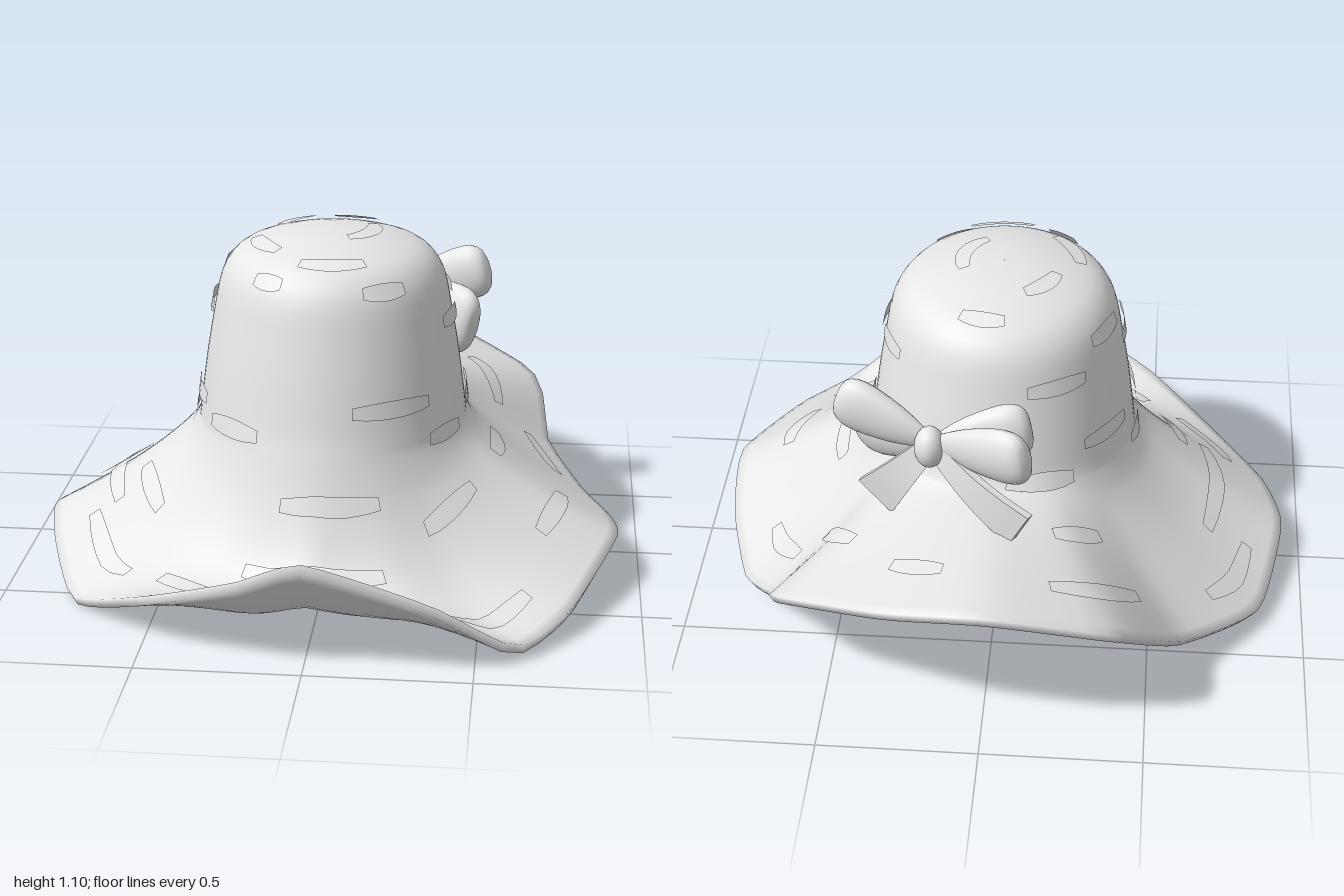
import * as THREE from 'three';

const V = (x, y, z) => new THREE.Vector3(x, y, z);
const TAU = Math.PI * 2;

// Wavy edge of the brim, once around from the front towards +x
const rimCurve = new THREE.CatmullRomCurve3([
  [0, .36, .995], [.37, .23, .955], [.62, .065, .855], [.78, .09, .64], [.925, .17, .24],
  [.905, .125, -.05], [.82, .1, -.34], [.7, .2, -.53], [.68, .31, -.66], [.62, .39, -.76],
  [.29, .51, -.94], [-.02, .56, -1], [-.4, .44, -.91], [-.62, .16, -.61], [-.86, .07, -.34],
  [-.937, .125, .03], [-.884, .1, .29], [-.767, .035, .58], [-.49, .16, .82], [-.2, .28, .96],
].map(p => V(...p)), true, 'catmullrom', .28);
const rimPoints = rimCurve.getPoints(400);
const rimAngles = rimPoints.map((p, i) => i === 400 ? TAU : (Math.atan2(p.x, p.z) + TAU) % TAU);

function rimAt(a) {
  a = ((a % TAU) + TAU) % TAU;
  let i = 1;
  while (i < 400 && rimAngles[i] < a) i++;
  const k = (a - rimAngles[i - 1]) / (rimAngles[i] - rimAngles[i - 1] || 1);
  return rimPoints[i - 1].clone().lerp(rimPoints[i], THREE.MathUtils.clamp(k, 0, 1));
}

// Crown profile: radius factor and height, from the top centre to the base
const crownCurve = new THREE.CatmullRomCurve3([
  [.001, 1.11], [.25, 1.103], [.5, 1.08], [.71, 1.04], [.82, .97], [.88, .85], [.94, .7], [.98, .57], [1, .5],
].map(([r, y]) => V(r, y, 0)));

const baseRise = a => .08 * Math.max(0, -Math.cos(a));

function crownAt(a, s) {
  const p = crownCurve.getPoint(s);
  return V(.43 * p.x * Math.sin(a), p.y + baseRise(a) * s ** 4, .06 + (.44 + .06 * s * s) * p.x * Math.cos(a));
}

// Brim sweeps down to its edge, with a deep valley behind the raised front
function brimAt(a, v) {
  const b = crownAt(a, 1), r = rimAt(a);
  const valley = .25 * Math.max(0, Math.cos(a)) ** 4 * Math.sin(Math.PI * v ** .9);
  const p = b.clone().lerp(r, v);
  p.y = b.y + (r.y - b.y) * v ** .75 - valley;
  return p;
}

// v from -1 (crown top) through 0 (crown base) to 1 (brim edge)
const surfaceAt = (a, v) => v < 0 ? crownAt(a, 1 + v) : brimAt(a, v);

function normalAt(a, v) {
  v = THREE.MathUtils.clamp(v, -.97, .985);
  const p = surfaceAt(a, v);
  return surfaceAt(a, v + .015).sub(p).cross(surfaceAt(a + .015, v).sub(p)).normalize();
}

const offsetAt = (a, v, d) => surfaceAt(a, v).addScaledVector(normalAt(a, v), d);

function gridGeometry(rows, closed) {
  const n = rows[0].length, pos = [], index = [];
  rows.forEach(row => row.forEach(p => pos.push(p.x, p.y, p.z)));
  for (let j = 0; j < rows.length - 1; j++) {
    for (let i = 0; i < (closed ? n : n - 1); i++) {
      const k = (i + 1) % n, a = j * n + i, b = a + n, c = (j + 1) * n + k, d = j * n + k;
      index.push(a, b, c, a, c, d);
    }
  }
  const g = new THREE.BufferGeometry();
  g.setAttribute('position', new THREE.Float32BufferAttribute(pos, 3));
  g.setIndex(index);
  g.computeVertexNormals();
  return g;
}

// Thin woven patch lying just above the surface, with tapered ends
function patchGeometry(a, v, length, width) {
  const p = surfaceAt(a, v);
  const across = surfaceAt(a + .02, v).distanceTo(p) / .02;
  const down = surfaceAt(a, v + .02).distanceTo(p) / .02;
  const rows = [[], []];
  for (let i = 0; i <= 6; i++) {
    const k = i / 3 - 1, aa = a + k * length / 2 / across;
    const half = width / 2 / down * (1 - .35 * k * k);
    [-1, 1].forEach((side, j) => rows[j].push(offsetAt(aa, Math.min(v + side * half, .97), .012)));
  }
  return gridGeometry(rows, false);
}

export function createModel() {
  const hat = new THREE.Group();
  hat.name = 'sunHat';
  const straw = new THREE.MeshStandardMaterial({ color: 0xe7e7e7, side: THREE.DoubleSide });
  straw.name = 'pale grey straw';
  const add = (geometry, name, parent = hat) => {
    const m = new THREE.Mesh(geometry, straw);
    m.name = name;
    parent.add(m);
    return m;
  };

  // Hollow body: outer crown and brim, thick edge, then the lining back up to the crown top
  const N = 96, rows = [];
  const ring = (v, d) => rows.push(Array.from({ length: N }, (_, i) => offsetAt(i / N * TAU, v, d)));
  for (let j = 0; j <= 24; j++) ring(j / 24 - 1, 0);
  for (let j = 1; j <= 16; j++) ring(j / 16, 0);
  for (let j = 16; j >= 0; j--) ring(j / 16, -.028);
  for (let j = 23; j >= 0; j--) ring(j / 24 - 1, -.028);
  add(gridGeometry(rows, true), 'hatBody');

  const patches = new THREE.Group();
  patches.name = 'wovenPatches';
  hat.add(patches);

  // Patches on the brim: x, z, length
  [[-.35, -.75, .42], [.2, -.77, .17], [-.27, -.54, .2], [.48, -.52, .22], [.68, -.32, .26],
    [.53, 0, .23], [.73, .25, .25], [.57, .73, .3], [0, .72, .44], [-.36, .73, .3], [-.7, .42, .38],
    [-.77, -.29, .3], [-.71, .03, .45], [-.58, .25, .25], [.45, .42, .24], [.05, .58, .3],
  ].forEach(([x, z, length]) => {
    const a = Math.atan2(x, z), b = crownAt(a, 1), r = rimAt(a);
    const B = Math.hypot(b.x, b.z), R = Math.hypot(r.x, r.z);
    const v = THREE.MathUtils.clamp((Math.hypot(x, z) - B) / (R - B), .1, .88);
    add(patchGeometry(a, v, length, .065), 'brimPatch', patches);
  });

  // Patches on the crown: angle in degrees, v, length
  [[-40, -.1, .22], [32, -.2, .27], [-30, -.56, .1], [32, -.53, .14], [5, -.67, .2],
    [80, -.38, .18], [115, -.42, .16], [95, -.13, .2], [60, -.05, .18], [-85, -.4, .2], [-75, -.16, .22],
    [-115, -.5, .16], [-125, -.2, .22], [-150, -.4, .2], [-60, -.72, .18], [-130, -.8, .15],
    [70, -.85, .2], [170, -.68, .14], [-95, -.04, .2], [-160, -.06, .22],
  ].forEach(([deg, v, length]) =>
    add(patchGeometry(deg * Math.PI / 180, v, length, .055), 'crownPatch', patches));

  // Ribbon bow at the back, towards the left
  const bow = new THREE.Group();
  bow.name = 'bow';
  hat.add(bow);
  const knot = V(.18, .77, -.45), outward = V(.37, 0, -.93).normalize();
  const place = (mesh, start, end) => {
    const along = end.clone().sub(start).normalize();
    const wide = outward.clone().cross(along).normalize();
    const thick = along.clone().cross(wide);
    mesh.quaternion.setFromRotationMatrix(new THREE.Matrix4().makeBasis(along, wide, thick));
    mesh.position.copy(start).lerp(end, .5);
  };

  // Puffed loops, narrow at the knot and broad with blunt ends: tip, half width
  [[[.48, .87, -.36], .11], [[.44, .7, -.23], .14], [[-.12, .85, -.62], .11], [[-.12, .83, -.43], .11]]
    .forEach(([t, width]) => {
      const end = V(...t), length = end.distanceTo(knot);
      const g = new THREE.SphereGeometry(1, 24, 16).rotateZ(-Math.PI / 2);
      const p = g.attributes.position;
      const blunt = (c, e) => Math.sign(c) * Math.abs(c) ** e;
      for (let i = 0; i < p.count; i++) {
        const x = p.getX(i), k = .72 + .38 * x;
        const swell = Math.max(1 - x * x, 0) ** -.2;
        const s = Number.isFinite(swell) ? swell : 1;
        p.setXYZ(i, blunt(x, .9) * length / 2, p.getY(i) * s * width * k, p.getZ(i) * s * .06 * k);
      }
      g.computeVertexNormals();
      place(add(g, 'bowLoop', bow), knot, end);
    });

  // Flat ribbon tails hanging below the knot
  [[.36, .55, -.44], [-.1, .6, -.64]].forEach(t => {
    const end = V(...t), length = end.distanceTo(knot);
    const g = new THREE.BoxGeometry(length, .12, .025, 8, 1, 1);
    const p = g.attributes.position;
    for (let i = 0; i < p.count; i++) {
      const k = p.getX(i) / length + .5;
      p.setY(i, p.getY(i) * (.5 + .7 * k));
      p.setZ(i, p.getZ(i) + .02 * Math.sin(k * Math.PI));
    }
    g.computeVertexNormals();
    place(add(g, 'bowTail', bow), knot, end);
  });

  const centre = add(new THREE.SphereGeometry(.06, 20, 14), 'bowKnot', bow);
  centre.scale.set(.8, 1.15, .9);
  centre.position.copy(knot).addScaledVector(outward, .02);
  return hat;
}
